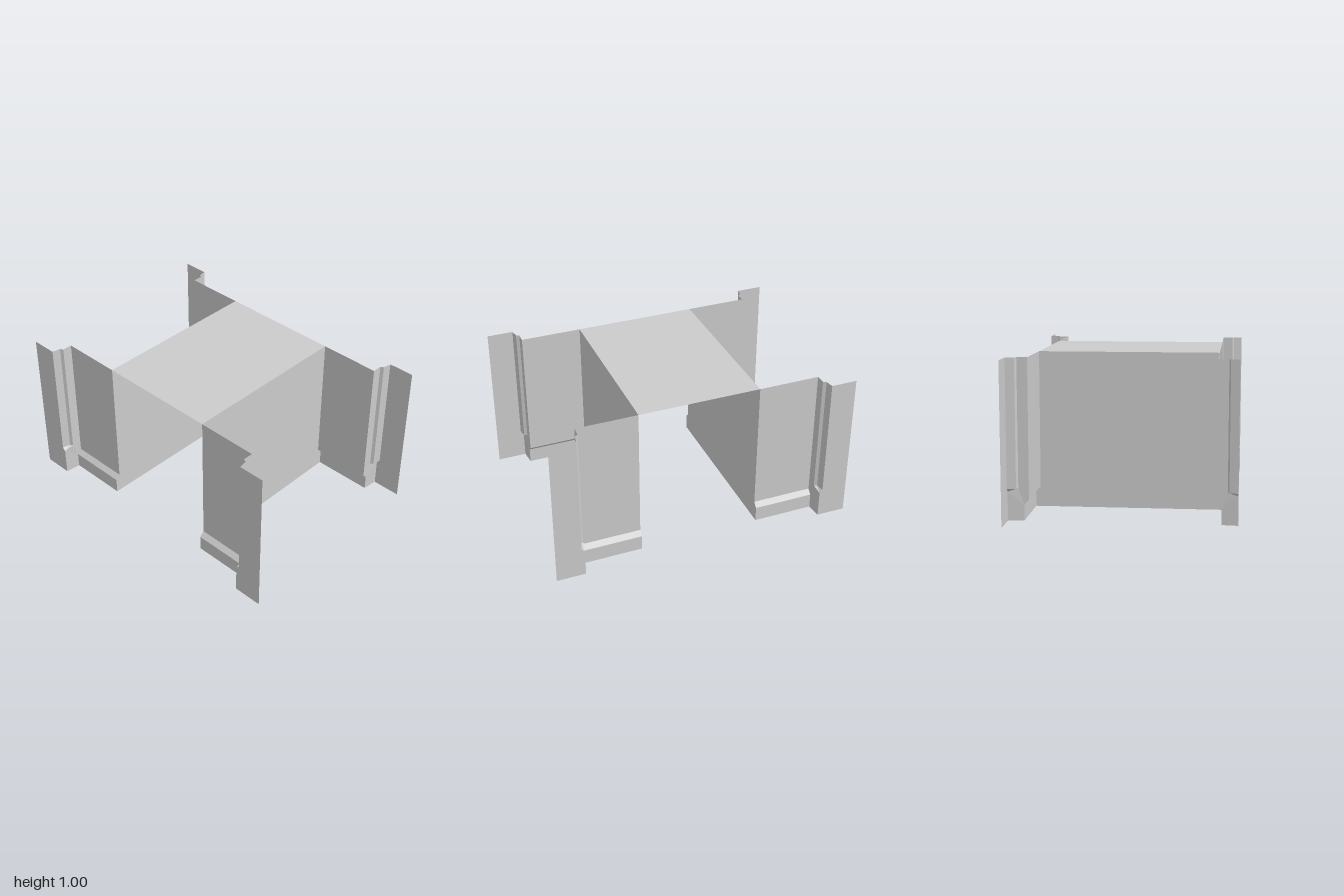
import * as THREE from 'three';

const material = new THREE.MeshStandardMaterial({
  color: 0xcccccc, side: THREE.DoubleSide, flatShading: true,
});

// Thin sheet made of convex polygons, each a list of [x, y, z] corners,
// mirrored by the signs sx and sz (corner order is kept facing the same way).
function sheet(name, polygons, sx = 1, sz = 1) {
  const positions = [];
  for (const polygon of polygons) {
    const corners = polygon.map(([x, y, z]) => [x * sx, y, z * sz]);
    if (sx * sz < 0) corners.reverse();
    for (let i = 1; i < corners.length - 1; i++) {
      positions.push(...corners[0], ...corners[i], ...corners[i + 1]);
    }
  }
  const geometry = new THREE.BufferGeometry();
  geometry.setAttribute('position', new THREE.Float32BufferAttribute(positions, 3));
  geometry.computeVertexNormals();
  const mesh = new THREE.Mesh(geometry, material);
  mesh.name = name;
  return mesh;
}

// Quads between two matching rows of points
function strip(a, b) {
  return a.slice(1).map((_, i) => [a[i], a[i + 1], b[i + 1], b[i]]);
}

const H = 1;        // wall height
const WALL = 0.57;  // half width of the passage
const BASE = 0.6;   // half width at the skirting
const FACE = 0.7;   // outer plane of the return walls

// Skirting profile up the side panel: [x, y]
const skirting = [[BASE, 0], [BASE, 0.1], [WALL, 0.13], [WALL, H]];

// Door trim in plan: [x, z]
const trim = [[0.635, 0.8], [0.645, 0.82], [FACE, 0.83]];

function corner(sx, sz) {
  const group = new THREE.Group();
  group.name = 'cornerReturn';

  // Side panel with the skirting at its foot
  group.add(sheet('sidePanel', strip(
    skirting.map(([x, y]) => [x, y, 0.8]),
    skirting.map(([x, y]) => [x, y, 0.4]),
  ), sx, sz));

  // Stepped door trim
  const [p, q, r] = trim.map(([x, z]) => [x, 0.2, z]);
  const lower = [[WALL, 0.13, 0.8], p, q, r];
  group.add(sheet('doorTrim', strip(lower, lower.map(([x, , z]) => [x, H, z])), sx, sz));

  // Plinth below the trim and its faceted cap
  const inner = [BASE, 0.1, 0.8];
  const outer = [FACE, 0.18, 0.81];
  group.add(sheet('plinth', [
    [[BASE, 0, 0.8], [FACE, 0, 0.81], outer, inner],
    [lower[0], inner, p],
    [inner, outer, p],
    [p, outer, q],
    [q, outer, r],
  ], sx, sz));

  // Outer return wall, notched around the plinth
  group.add(sheet('returnWall', [
    [[FACE, 0, 0.81], [FACE, 0, 1], [FACE, 0.2, 1], r, outer],
    [r, [FACE, 0.2, 1], [FACE, H, 1], [FACE, H, 0.83]],
  ], sx, sz));
  return group;
}

export function createModel() {
  const model = new THREE.Group();
  model.name = 'wallSection';

  // Flat top between the two cross walls
  model.add(sheet('top', [
    [[-WALL, H, 0.4], [WALL, H, 0.4], [WALL, H, -0.4], [-WALL, H, -0.4]],
  ]));

  for (const sz of [1, -1]) {
    // Cross wall, its ends following the skirting profile
    model.add(sheet(sz > 0 ? 'frontWall' : 'backWall', strip(
      skirting.map(([x, y]) => [-x, y, 0.4]),
      skirting.map(([x, y]) => [x, y, 0.4]),
    ).map((quad) => quad.reverse()), 1, sz));
    for (const sx of [1, -1]) model.add(corner(sx, sz));
  }
  return model;
}
